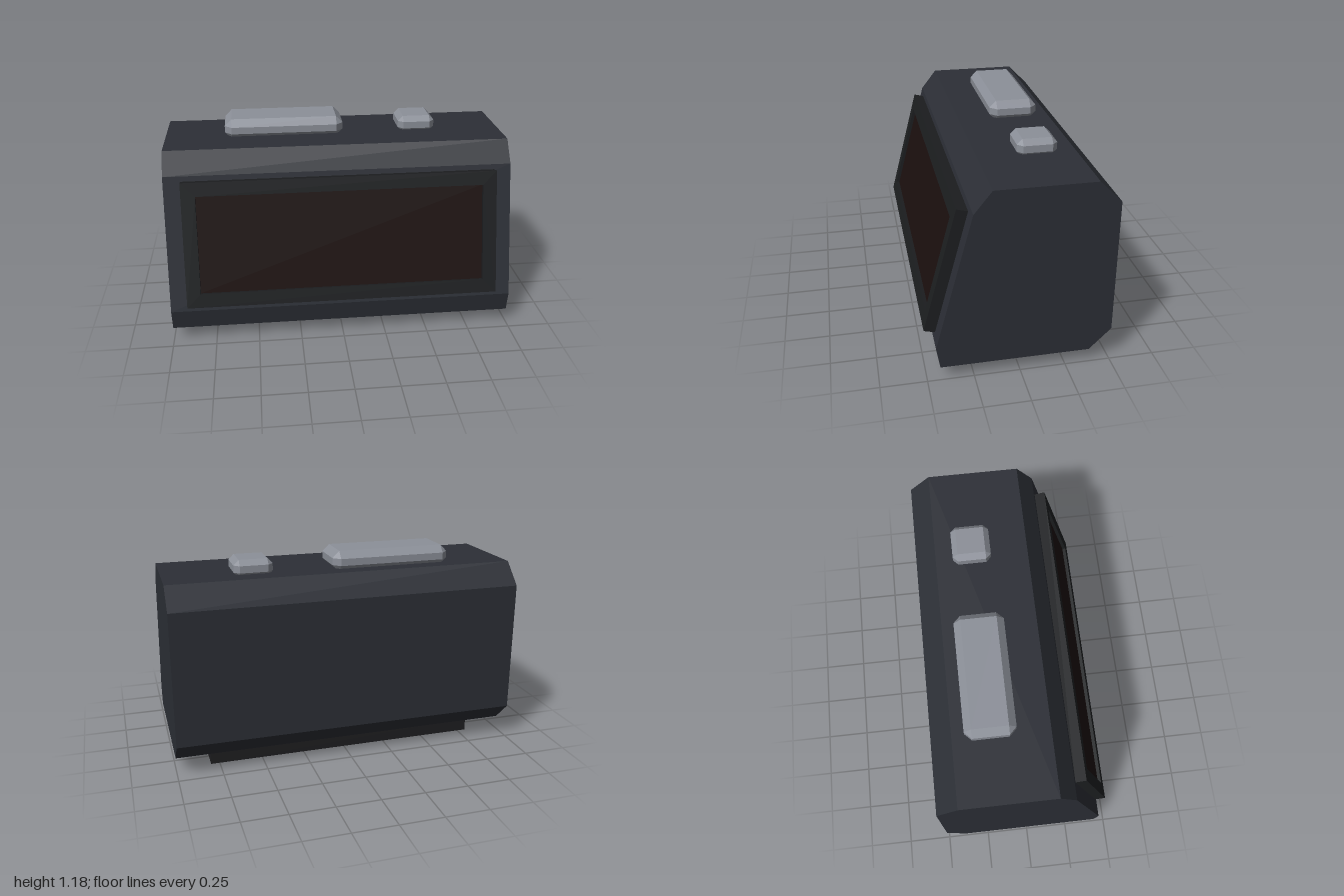
import * as THREE from 'three';
import { ConvexGeometry } from 'three/addons/geometries/ConvexGeometry.js';

const paint = (color) => new THREE.MeshStandardMaterial({ color, flatShading: true });

function addPart(parent, name, geometry, material, x = 0, y = 0, z = 0) {
  const mesh = new THREE.Mesh(geometry, material);
  mesh.name = name;
  mesh.position.set(x, y, z);
  parent.add(mesh);
  return mesh;
}

// Box with every edge cut by a flat chamfer c
function chamferedBox(w, h, d, c) {
  const points = [];
  for (const sx of [-1, 1]) for (const sy of [-1, 1]) for (const sz of [-1, 1]) {
    for (let full = 0; full < 3; full++) {
      const half = [w, h, d].map((size, i) => size / 2 - (i === full ? 0 : c));
      points.push(new THREE.Vector3(sx * half[0], sy * half[1], sz * half[2]));
    }
  }
  return new ConvexGeometry(points);
}

function rectanglePath(path, w, h) {
  path.moveTo(-w / 2, -h / 2);
  path.lineTo(w / 2, -h / 2);
  path.lineTo(w / 2, h / 2);
  path.lineTo(-w / 2, h / 2);
  path.closePath();
  return path;
}

export function createModel() {
  const model = new THREE.Group();
  model.name = 'alarmClock';
  const bodyPaint = paint(0x2c2f36);
  const bezelPaint = paint(0x1d1f21);
  const screenPaint = paint(0x1c100f);
  const buttonPaint = paint(0x8c9099);
  const footPaint = paint(0x1e1e20);

  // Body: side profile as (z, y), stretched across x
  const profile = new THREE.Shape([
    [0.43, 0.08], [0.45, 0.2], [0.25, 0.96], [0.155, 1.08],
    [-0.38, 1.08], [-0.5, 0.96], [-0.5, 0.2], [-0.38, 0.08],
  ].map(([z, y]) => new THREE.Vector2(z, y)));
  const bodyGeometry = new THREE.ExtrudeGeometry(profile, { depth: 2, bevelEnabled: false });
  bodyGeometry.translate(0, 0, -1).rotateY(-Math.PI / 2);
  addPart(model, 'body', bodyGeometry, bodyPaint);

  // Display, lying on the sloped front
  const display = new THREE.Group();
  display.name = 'display';
  display.position.set(0, 0.583, 0.349);
  display.rotation.x = -Math.atan2(0.2, 0.76);
  model.add(display);

  const frame = rectanglePath(new THREE.Shape(), 1.8, 0.72);
  frame.holes.push(rectanglePath(new THREE.Path(), 1.64, 0.56));
  addPart(display, 'bezel',
    new THREE.ExtrudeGeometry(frame, { depth: 0.062, bevelEnabled: false }), bezelPaint);
  addPart(display, 'screen', new THREE.BoxGeometry(1.64, 0.56, 0.042), screenPaint, 0, 0, 0.021);

  // Top buttons, partly sunk into the body
  addPart(model, 'snoozeButton', chamferedBox(0.7, 0.12, 0.28, 0.04), buttonPaint, -0.3, 1.12, -0.17);
  addPart(model, 'smallButton', chamferedBox(0.22, 0.1, 0.22, 0.03), buttonPaint, 0.5, 1.11, -0.17);

  // Two long feet
  const footGeometry = new THREE.BoxGeometry(1.6, 0.08, 0.2);
  addPart(model, 'frontFoot', footGeometry, footPaint, 0, 0.04, 0.2);
  addPart(model, 'rearFoot', footGeometry, footPaint, 0, 0.04, -0.25);

  return model;
}
